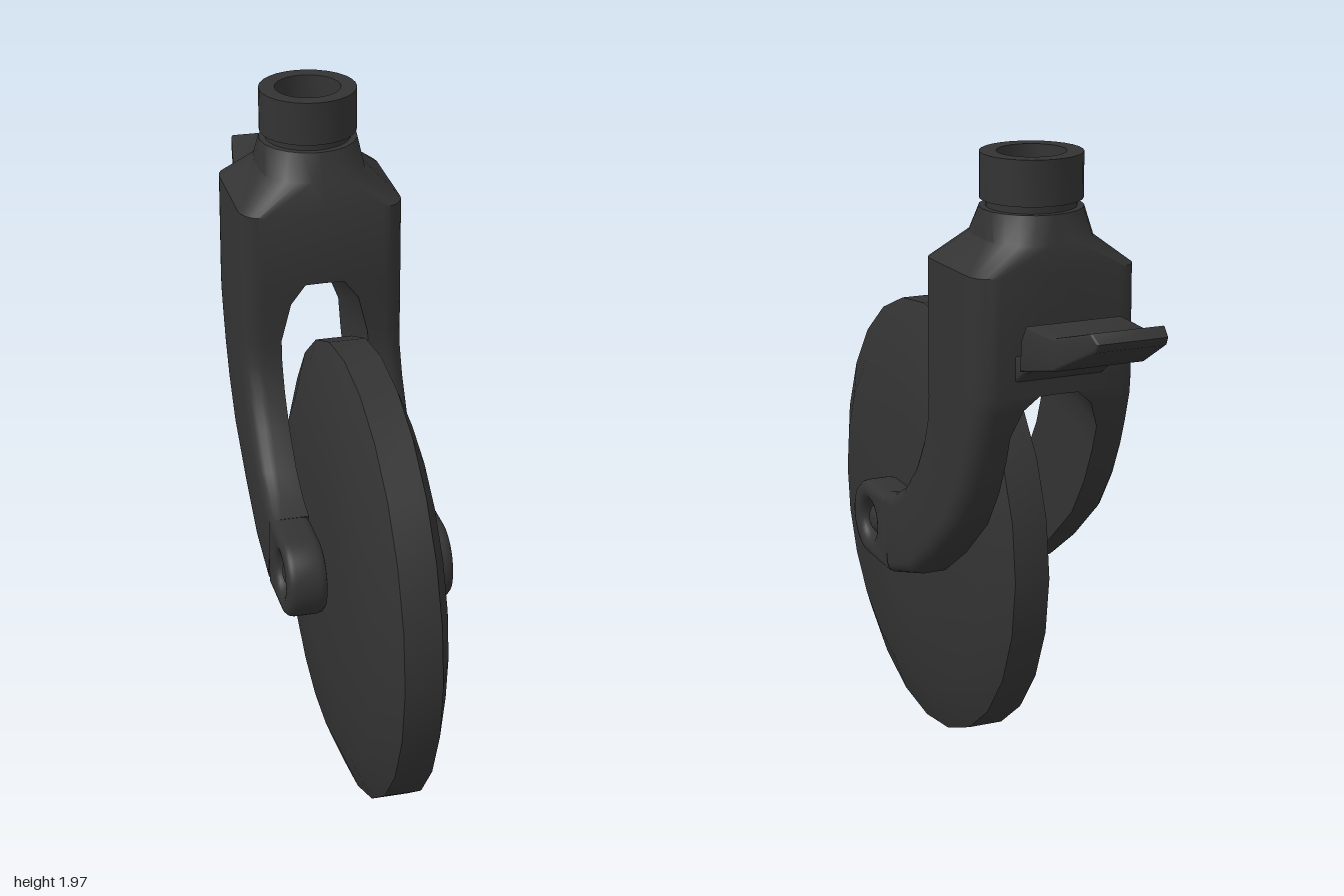
import * as THREE from 'three';
import { toCreasedNormals } from 'three/addons/utils/BufferGeometryUtils.js';

const material = new THREE.MeshStandardMaterial({ color: 0x333333 });

function addMesh(group, name, geometry, crease = 0.65) {
  const mesh = new THREE.Mesh(toCreasedNormals(geometry, crease), material);
  mesh.name = name;
  group.add(mesh);
  return mesh;
}

// Lathe whose axis is turned to lie along x
const latheX = (points, segments) =>
  new THREE.LatheGeometry(points.map(p => new THREE.Vector2(...p)), segments).rotateZ(-Math.PI / 2);

// Extrudes a (z, y) outline along x, centred on x = cx
function extrudeX(shape, width, cx, bevel) {
  const depth = width - 2 * bevel;
  const geo = new THREE.ExtrudeGeometry(shape, {
    depth, curveSegments: 14, bevelEnabled: true, bevelSegments: 3,
    bevelSize: bevel, bevelThickness: bevel, bevelOffset: -bevel,
  });
  return geo.translate(0, 0, -depth / 2).rotateY(-Math.PI / 2).translate(cx, 0, 0);
}

// Fork sections: front z, front y, back z, back y, outer x, corner radius, inner x
const FORK = [
  [-0.205, 1.815, -0.505, 1.815, 0.15, 0.15, 0],
  [-0.172, 1.735, -0.53, 1.735, 0.16, 0.13, 0],
  [-0.138, 1.65, -0.55, 1.66, 0.25, 0.07, 0],
  [-0.142, 1.42, -0.548, 1.31, 0.25, 0.065, 0],
  [-0.142, 1.419, -0.548, 1.309, 0.25, 0.065, 0.06],
  [-0.143, 1.36, -0.54, 1.27, 0.25, 0.06, 0.105],
  [-0.146, 1.24, -0.517, 1.19, 0.25, 0.06, 0.135],
  [-0.14, 1.17, -0.49, 1.11, 0.25, 0.06, 0.135],
  [-0.11, 1.09, -0.44, 1.0, 0.25, 0.06, 0.135],
  [-0.05, 0.99, -0.36, 0.88, 0.25, 0.06, 0.135],
  [0.04, 0.895, -0.2, 0.74, 0.25, 0.055, 0.135],
  [0.13, 0.84, -0.04, 0.63, 0.25, 0.045, 0.135],
  [0.2, 0.82, 0.14, 0.577, 0.25, 0.03, 0.135],
];

// One half of the fork, lofted from crown to arm; side is 1 or -1
function forkHalf(side) {
  const STEPS = 5;
  const pos = [], index = [];
  const tri = (a, b, c) => index.push(...(side > 0 ? [a, b, c] : [a, c, b]));
  const n = 2 * (STEPS + 1) + 2;
  FORK.forEach(([fz, fy, bz, by, outer, r, inner]) => {
    const len = Math.hypot(fz - bz, fy - by);
    const ring = [[inner, 0]];
    for (let corner = 0; corner < 2; corner++) {
      for (let i = 0; i <= STEPS; i++) {
        const a = (corner + i / STEPS) * Math.PI / 2;
        const mid = corner ? len - r : r;
        ring.push([outer - r + r * Math.sin(a), mid - r * Math.cos(a)]);
      }
    }
    ring.push([inner, len]);
    ring.forEach(([x, d]) => {
      const t = d / len;
      pos.push(side * x, fy + (by - fy) * t, fz + (bz - fz) * t);
    });
  });
  for (let s = 0; s < FORK.length - 1; s++) {
    for (let i = 0; i < n; i++) {
      const a = s * n + i, b = s * n + (i + 1) % n;
      tri(a, a + n, b);
      tri(b, a + n, b + n);
    }
  }
  const last = (FORK.length - 1) * n;
  for (let i = 1; i < n - 1; i++) {
    tri(0, i, i + 1);
    tri(last, last + i + 1, last + i);
  }
  const geo = new THREE.BufferGeometry();
  geo.setAttribute('position', new THREE.Float32BufferAttribute(pos, 3));
  geo.setIndex(index);
  return geo;
}

export function createModel() {
  const model = new THREE.Group();
  model.name = 'casterWheel';
  const axleY = 0.69, axleZ = 0.31;

  // Wheel with tapering tread
  const half = [[0, 0.13], [0.3, 0.126], [0.55, 0.11], [0.69, 0.055]];
  const profile = [...half.map(([r, x]) => [r, -x]), ...half.slice().reverse()];
  addMesh(model, 'wheel', latheX(profile, 24)).position.set(0, axleY, axleZ);

  // Fork halves, arm ends with countersunk holes, and bolts
  for (const side of [1, -1]) {
    const label = side > 0 ? 'left' : 'right';
    addMesh(model, label + 'ForkHalf', forkHalf(side));

    const end = new THREE.Shape();
    end.moveTo(0.15, 0.577);
    end.lineTo(0.325, 0.577);
    end.absarc(0.325, 0.698, 0.121, -Math.PI / 2, Math.PI / 2, false);
    end.lineTo(0.15, 0.819);
    end.closePath();
    const hole = new THREE.Path();
    hole.absarc(axleZ, 0.698, 0.062, 0, Math.PI * 2, true);
    end.holes.push(hole);
    addMesh(model, label + 'ArmEnd', extrudeX(end, 0.12, side * 0.192, 0.025));

    const bolt = new THREE.SphereGeometry(0.052, 18, 8, 0, Math.PI * 2, 0, Math.PI / 2);
    bolt.scale(1, 0.7, 1).rotateZ(-side * Math.PI / 2);
    addMesh(model, label + 'BoltHead', bolt).position.set(side * 0.205, 0.698, axleZ);
  }
  const axle = new THREE.CylinderGeometry(0.066, 0.066, 0.41, 20).rotateZ(Math.PI / 2);
  addMesh(model, 'axle', axle).position.set(0, 0.698, axleZ);

  // Stem collar with groove below and open bore
  const collar = [[0.13, 1.8], [0.13, 1.838], [0.148, 1.838], [0.148, 1.97],
    [0.1, 1.97], [0.1, 1.818], [0, 1.818]];
  addMesh(model, 'collar', new THREE.LatheGeometry(collar.map(p => new THREE.Vector2(...p)), 28))
    .position.z = -0.355;
  addMesh(model, 'boreBar', new THREE.BoxGeometry(0.195, 0.03, 0.08)).position.set(0, 1.83, -0.35);

  // Brake lever: stem and pedal, narrowing towards the tip
  const stem = new THREE.Shape([[-0.5, 1.34], [-0.5, 1.43], [-0.56, 1.435], [-0.66, 1.5], [-0.66, 1.42],
    [-0.6, 1.395], [-0.55, 1.36]].map(p => new THREE.Vector2(...p)));
  addMesh(model, 'leverStem', extrudeX(stem, 0.27, 0, 0.006));
  const pedal = new THREE.Shape([[-0.605, 1.405], [-0.8, 1.455], [-0.985, 1.55], [-1, 1.575], [-0.965, 1.598],
    [-0.8, 1.548], [-0.64, 1.543], [-0.615, 1.5]].map(p => new THREE.Vector2(...p)));
  const pedalGeo = extrudeX(pedal, 0.3, 0, 0.008);
  const p = pedalGeo.attributes.position;
  for (let i = 0; i < p.count; i++) {
    const z = p.getZ(i);
    const k = z > -0.8 ? 1 + (z + 0.62) * 0.4 : 0.928 + (z + 0.8) * 1.15;
    p.setX(i, p.getX(i) * Math.min(1, k));
  }
  addMesh(model, 'leverPedal', pedalGeo);

  return model;
}
